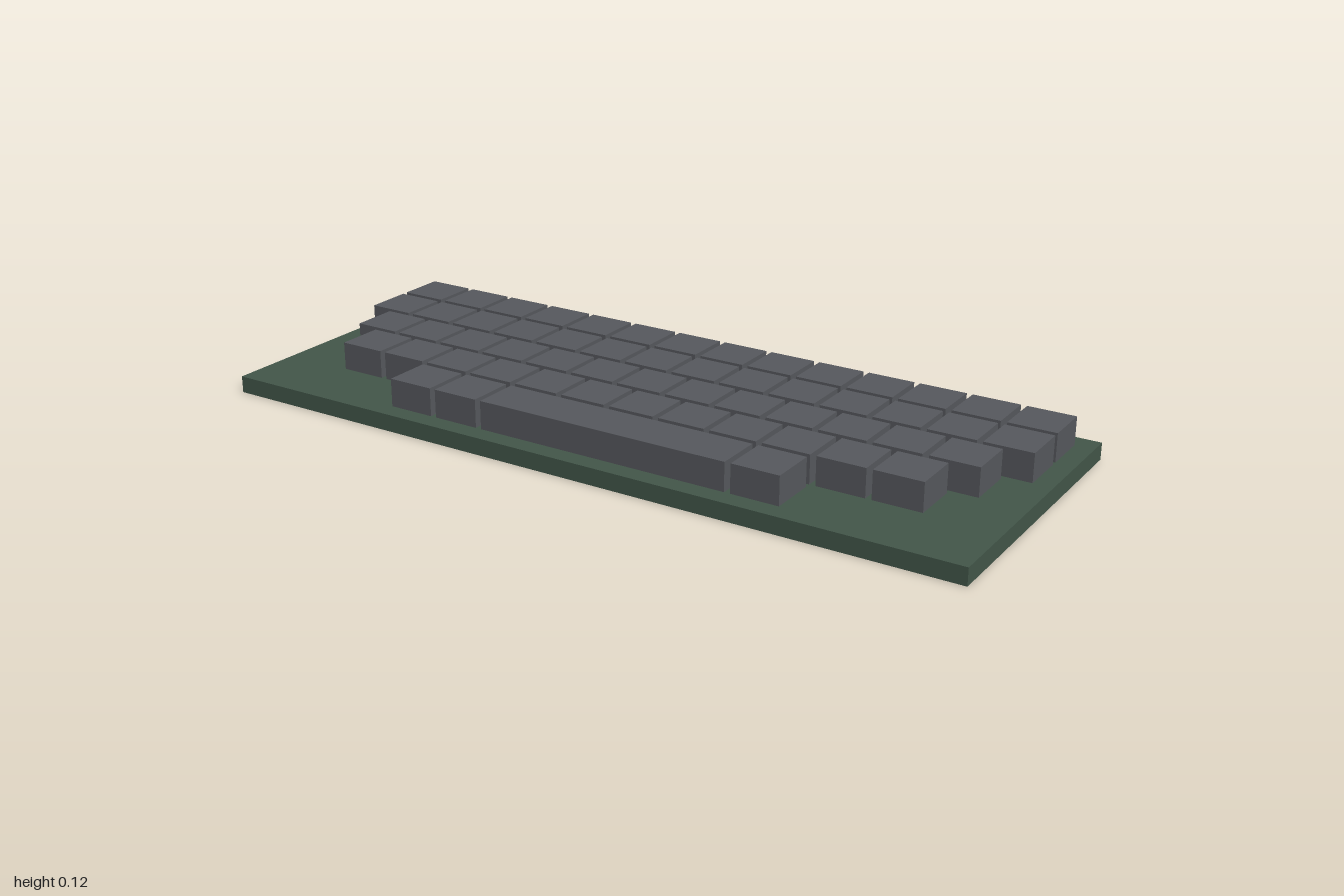
import * as THREE from 'three';

export function createModel() {
  const model = new THREE.Group();
  model.name = 'keyboard';

  const baseMaterial = new THREE.MeshStandardMaterial({ color: 0x43574a });
  const keyMaterial = new THREE.MeshStandardMaterial({ color: 0x57595e });

  const baseHeight = 0.043;
  const keyHeight = 0.072;
  const pitch = 0.137; // spacing of one key unit
  const gap = 0.0152;

  const addBox = (parent, name, size, position, material) => {
    const mesh = new THREE.Mesh(new THREE.BoxGeometry(...size), material);
    mesh.name = name;
    mesh.position.set(...position);
    parent.add(mesh);
  };

  // base plate
  addBox(model, 'basePlate', [2, baseHeight, 0.768], [0, baseHeight / 2, 0], baseMaterial);

  // key widths in units, from the back row to the front row
  const rows = [
    Array(14).fill(1),
    Array(14).fill(1),
    Array(13).fill(1),
    Array(12).fill(1),
    [1, 1, 5, 1],
  ];

  // each row is centred on the plate
  rows.forEach((widths, r) => {
    const row = new THREE.Group();
    row.name = `keyRow${r + 1}`;
    row.position.set(0, baseHeight + keyHeight / 2, (r - 2) * pitch);
    let x = (-widths.reduce((sum, w) => sum + w, 0) * pitch) / 2;
    widths.forEach((w, i) => {
      const name = w > 1 ? 'spaceBar' : `key${i + 1}`;
      addBox(row, name, [w * pitch - gap, keyHeight, pitch - gap], [x + (w * pitch) / 2, 0, 0], keyMaterial);
      x += w * pitch;
    });
    model.add(row);
  });

  return model;
}
